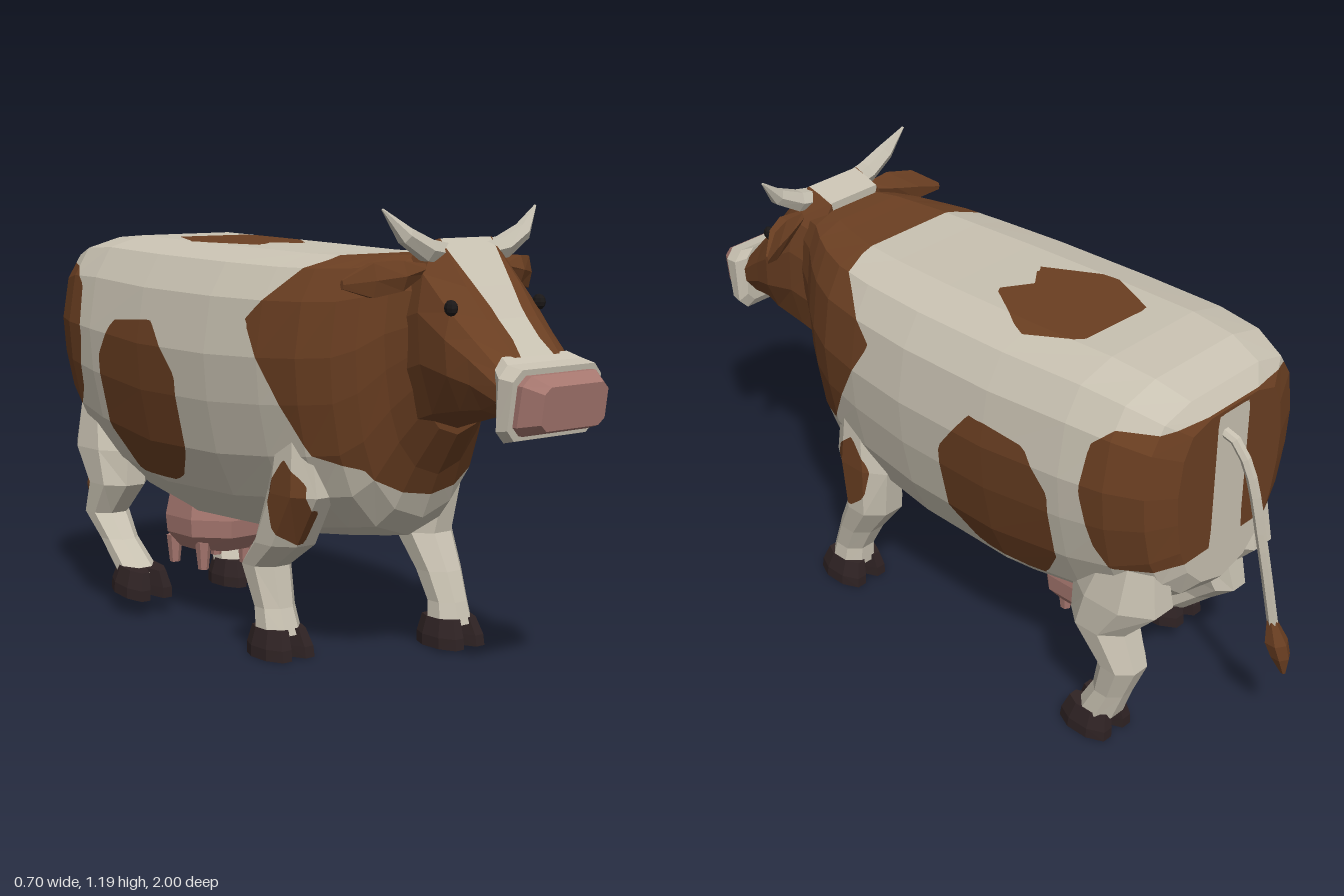
import * as THREE from 'three';

const mat = (name, color) => Object.assign(new THREE.MeshStandardMaterial({ color }), { name });
const V = (x, y, z) => new THREE.Vector3(x, y, z);

// flat-shaded geometry from a list of corner points, three per face
function fromPoints(pts) {
  const g = new THREE.BufferGeometry().setFromPoints(pts);
  g.computeVertexNormals();
  return g;
}

// closed skin through rings of points, capped at both ends, turned outward
function loft(rings) {
  const tris = [], n = rings[0].length;
  for (let r = 0; r < rings.length - 1; r++) for (let i = 0; i < n; i++) {
    const j = (i + 1) % n, a = rings[r], b = rings[r + 1];
    tris.push([a[i], a[j], b[j]], [a[i], b[j], b[i]]);
  }
  const cap = (ring, flip) => {
    const c = ring.reduce((s, p) => s.add(p), V(0, 0, 0)).divideScalar(n);
    for (let i = 0; i < n; i++) {
      const j = (i + 1) % n;
      tris.push(flip ? [c, ring[j], ring[i]] : [c, ring[i], ring[j]]);
    }
  };
  cap(rings[0], true);
  cap(rings[rings.length - 1], false);
  const volume = tris.reduce((s, [a, b, c]) => s + a.dot(b.clone().cross(c)), 0);
  return (volume < 0 ? tris.map(([a, b, c]) => [a, c, b]) : tris).flat();
}

// cut the skin where field(p) changes sign: positive side gets the second colour
function painted(name, pts, field, base, patch) {
  const out = [[], []], n = 6;
  const emit = (tri) => {
    const f = tri.map(field);
    [-1, 1].forEach((s, side) => {
      const poly = [];
      for (let i = 0; i < 3; i++) {
        const j = (i + 1) % 3;
        if (f[i] * s >= 0) poly.push(tri[i]);
        if (f[i] * f[j] < 0) poly.push(tri[i].clone().lerp(tri[j], f[i] / (f[i] - f[j])));
      }
      for (let i = 1; i < poly.length - 1; i++) out[side].push(poly[0], poly[i], poly[i + 1]);
    });
  };
  for (let t = 0; t < pts.length; t += 3) {
    const [a, b, c] = [pts[t], pts[t + 1], pts[t + 2]];
    const at = (i, j) => a.clone().multiplyScalar((n - i - j) / n).addScaledVector(b, i / n).addScaledVector(c, j / n);
    for (let i = 0; i < n; i++) for (let j = 0; j < n - i; j++) {
      emit([at(i, j), at(i + 1, j), at(i, j + 1)]);
      if (i + j < n - 1) emit([at(i + 1, j), at(i + 1, j + 1), at(i, j + 1)]);
    }
  }
  const group = new THREE.Group();
  group.name = name;
  group.add(mesh(name + 'Base', fromPoints(out[0]), base), mesh(name + 'Patches', fromPoints(out[1]), patch));
  return group;
}

function mesh(name, geometry, material) {
  let g = geometry;
  if (g.index) { g = g.toNonIndexed(); g.computeVertexNormals(); }
  const m = new THREE.Mesh(g, material);
  m.name = name;
  return m;
}

// signed distance to a polygon, positive inside
function inside(px, py, poly) {
  let d = Infinity, hit = false;
  poly.forEach(([ax, ay], i) => {
    const [bx, by] = poly[(i + 1) % poly.length], ex = bx - ax, ey = by - ay;
    const t = THREE.MathUtils.clamp(((px - ax) * ex + (py - ay) * ey) / (ex * ex + ey * ey), 0, 1);
    d = Math.min(d, Math.hypot(px - ax - ex * t, py - ay - ey * t));
    if ((ay > py) !== (by > py) && px < ax + (ex * (py - ay)) / ey) hit = !hit;
  });
  return hit ? d : -d;
}

// symmetric ring: half profile of [width, height] between a top and a bottom [z, y]
function ring(half, top, bottom, hw) {
  const all = [...half, ...half.slice(1, -1).reverse().map(([u, v]) => [-u, v])];
  return all.map(([u, v]) => V(u * hw, bottom[1] + (top[1] - bottom[1]) * v, bottom[0] + (top[0] - bottom[0]) * v));
}

// horizontal rings, stations are [y, z, x, halfX, halfZ]
const column = (stations, side = 1, n = 8) => loft(stations.map(([y, z, x, hx, hz]) =>
  Array.from({ length: n }, (_, i) => {
    const a = ((i + 0.5) / n) * Math.PI * 2, k = 1 / Math.cos(Math.PI / n);
    return V(side * (x + Math.cos(a) * hx * k), y, z + Math.sin(a) * hz * k);
  })));

// coat patches, outlines as [z, y], the back patch as [x, z]
const SADDLE = [[0.31, 1.2], [0.31, 1.05], [0.14, 0.895], [0.345, 0.56], [0.46, 0.53], [0.52, 0.43], [0.9, 0.43], [0.9, 1.2]];
const FLANK = [[-0.25, 0.868], [-0.435, 0.855], [-0.512, 0.75], [-0.512, 0.54], [-0.435, 0.42], [-0.215, 0.42], [-0.14, 0.52], [-0.14, 0.725]];
const RUMP = [[-0.68, 0.99], [-0.625, 0.94], [-0.61, 0.8], [-0.64, 0.645], [-0.68, 0.585], [-0.9, 0.61], [-0.9, 1.0]];
const BACK = [[-0.09, -0.455], [0.145, -0.445], [0.205, -0.29], [0.085, -0.1], [0, -0.155], [-0.075, -0.095], [-0.17, -0.28]];
const SHOULDER = [[0.33, 0.485], [0.26, 0.545], [0.195, 0.46], [0.215, 0.36], [0.275, 0.31], [0.335, 0.35]];
const BLAZE = [[-0.088, 1.2], [-0.085, 1.09], [-0.05, 0.95], [-0.045, 0.88], [-0.065, 0.81], [0.065, 0.81], [0.045, 0.88], [0.05, 0.95], [0.085, 1.09], [0.088, 1.2]];

const shoulderSpot = (p) => Math.min(inside(p.z, p.y, SHOULDER), Math.abs(p.x) - 0.225);
const coat = (p) => Math.max(
  inside(p.z, p.y, SADDLE), inside(p.z, p.y, FLANK), shoulderSpot(p),
  Math.min(inside(p.x, p.z, BACK), p.y - 0.9),
  Math.min(inside(p.z, p.y, RUMP), Math.max(Math.abs(p.x) - 0.06, p.y - 0.97)));

export function createModel() {
  const white = mat('creamWhite', 0xc9c2b2), brown = mat('brown', 0x6b3f22), pink = mat('pink', 0xa6776f);
  const hoofMat = mat('hoofDark', 0x2f2324), black = mat('eyeBlack', 0x1b1818), horn = mat('horn', 0xc6c0b1);
  const cow = new THREE.Group();
  cow.name = 'cow';

  // body and neck: [z, top, bottom, half width]
  const trunk = [[0, 1], [0.45, 1], [0.78, 0.96], [0.93, 0.85], [1, 0.66], [0.97, 0.5], [0.88, 0.32], [0.72, 0.17], [0.42, 0.05], [0, 0]];
  const body = [[-0.81, 0.99, 0.48, 0.2], [-0.775, 1.04, 0.44, 0.285], [-0.68, 1.07, 0.37, 0.325], [-0.55, 1.08, 0.32, 0.34],
    [-0.3, 1.073, 0.27, 0.35], [0, 1.065, 0.275, 0.345], [0.2, 1.06, 0.3, 0.327], [0.33, 1.06, 0.32, 0.305],
    [0.42, 1.063, 0.335, 0.265], [0.475, 1.067, 0.39, 0.23], [0.53, 1.067, 0.51, 0.185], [0.6, 1.05, 0.62, 0.15]];
  cow.add(painted('body', loft(body.map(([z, t, b, w]) => ring(trunk, [z, t], [z, b], w))), coat, white, brown));

  // head with a pale blaze
  const skull = [[0, 1], [0.54, 1], [0.88, 0.82], [1, 0.62], [0.98, 0.35], [0.75, 0.08], [0, 0]];
  const head = [[[0.53, 1.09], [0.55, 0.62], 0.15], [[0.62, 1.112], [0.64, 0.65], 0.165], [[0.72, 1.0], [0.74, 0.68], 0.17],
    [[0.785, 0.925], [0.8, 0.695], 0.155], [[0.875, 0.835], [0.87, 0.69], 0.14]];
  cow.add(painted('head', loft(head.map((h) => ring(skull, ...h))),
    (p) => inside(p.x, p.y, BLAZE), brown, white));

  // muzzle band and nose
  const snout = [[0, 1], [0.82, 1], [1, 0.84], [1, 0.16], [0.82, 0], [0, 0]];
  const muzzle = [[[0.86, 0.845], [0.87, 0.67], 0.135], [[0.895, 0.83], [0.885, 0.645], 0.155], [[0.94, 0.822], [0.915, 0.652], 0.15]];
  const nose = [[[0.92, 0.808], [0.9, 0.664], 0.134], [[0.955, 0.808], [0.93, 0.664], 0.134], [[1.0, 0.785], [0.985, 0.68], 0.108]];
  cow.add(mesh('muzzle', fromPoints(loft(muzzle.map((m) => ring(snout, ...m)))), white));
  cow.add(mesh('nose', fromPoints(loft(nose.map((m) => ring(snout, ...m)))), pink));

  for (const s of [1, -1]) {
    const side = s > 0 ? 'left' : 'right';

    // eye
    const eye = mesh(side + 'Eye', new THREE.SphereGeometry(0.02, 8, 6), black);
    eye.position.set(s * 0.15, 0.953, 0.728);
    eye.scale.set(0.7, 1, 1);
    cow.add(eye);

    // ear: leaf of rings from root to tip [x, y, z, half height, half depth]
    const leaf = [[0.13, 1.04, 0.61, 0.015, 0.015], [0.2, 1.025, 0.6, 0.042, 0.03], [0.265, 1.015, 0.57, 0.048, 0.022], [0.322, 1.005, 0.53, 0.012, 0.006]];
    cow.add(mesh(side + 'Ear', fromPoints(loft(leaf.map(([x, y, z, hy, hz]) =>
      Array.from({ length: 6 }, (_, i) => V(s * x, y + Math.sin(i * Math.PI / 3) * hy, z + Math.cos(i * Math.PI / 3) * hz))))), brown));

    // horn: [x, y, z, radius, lean]
    const spike = [[0.07, 1.075, 0.615, 0.03, 0.2], [0.13, 1.085, 0.62, 0.031, 0.3], [0.2, 1.122, 0.62, 0.024, 0.6], [0.26, 1.185, 0.605, 0.003, 0.8]];
    cow.add(mesh(side + 'Horn', fromPoints(loft(spike.map(([x, y, z, r, lean]) =>
      Array.from({ length: 6 }, (_, i) => {
        const a = i * Math.PI / 3, u = Math.sin(a) * r;
        return V(s * (x - u * Math.sin(lean)), y + u * Math.cos(lean), z + Math.cos(a) * r);
      })))), horn));

    // front leg, the left one a step ahead
    const lower = s > 0
      ? [[0.3, 0.25, 0.215, 0.075, 0.075], [0.2, 0.31, 0.215, 0.06, 0.06], [0.12, 0.345, 0.215, 0.052, 0.053], [0.06, 0.355, 0.215, 0.058, 0.06]]
      : [[0.31, 0.18, 0.215, 0.075, 0.085], [0.24, 0.1, 0.215, 0.062, 0.065], [0.13, 0.135, 0.215, 0.052, 0.05], [0.06, 0.152, 0.215, 0.058, 0.058]];
    cow.add(painted(side + 'FrontLeg', column([[0.62, 0.26, 0.235, 0.045, 0.07], [0.45, 0.255, 0.225, 0.068, 0.1], ...lower], s), shoulderSpot, white, brown));

    // hind leg, the right one lifted
    const shank = s > 0
      ? [[0.25, -0.675, 0.21, 0.06, 0.06], [0.15, -0.645, 0.21, 0.05, 0.05], [0.06, -0.605, 0.21, 0.057, 0.058]]
      : [[0.27, -0.655, 0.22, 0.06, 0.06], [0.2, -0.585, 0.225, 0.05, 0.05], [0.115, -0.49, 0.225, 0.055, 0.055]];
    cow.add(mesh(side + 'HindLeg', fromPoints(column([[0.6, -0.68, 0.2, 0.06, 0.09], [0.46, -0.655, 0.2, 0.085, 0.135], [0.36, -0.61, 0.21, 0.075, 0.09], ...shank], s)), white));

    // cloven hooves
    const feet = { FrontHoof: [0.215, 0, s > 0 ? 0.357 : 0.157], HindHoof: s > 0 ? [0.21, 0, -0.59] : [0.225, 0.055, -0.475] };
    for (const [name, [x, y, z]] of Object.entries(feet)) {
      const hoof = new THREE.Group();
      hoof.name = side + name;
      for (const t of [1, -1]) {
        hoof.add(mesh('toe', fromPoints(column([[0, 0.002, 0.038, 0.036, 0.078], [0.03, 0, 0.037, 0.036, 0.076], [0.077, -0.005, 0.029, 0.029, 0.062]], t)), hoofMat));
      }
      hoof.position.set(s * x, y, z);
      if (y > 0) hoof.rotation.x = 0.12;
      cow.add(hoof);
    }
  }

  // udder and teats
  cow.add(mesh('udder', fromPoints(column([[0.36, -0.38, -0.025, 0.12, 0.13], [0.28, -0.38, -0.025, 0.134, 0.15], [0.23, -0.38, -0.025, 0.13, 0.145], [0.185, -0.38, -0.025, 0.095, 0.105]])), pink));
  for (const x of [-0.115, 0.035]) for (const z of [-0.32, -0.46]) {
    const teat = mesh('teat', new THREE.CylinderGeometry(0.024, 0.015, 0.08, 6), pink);
    teat.position.set(x, 0.172, z);
    cow.add(teat);
  }

  // tail and its brush
  const path = new THREE.CatmullRomCurve3([V(0.03, 0.93, -0.79), V(0.03, 0.92, -0.835), V(0.02, 0.85, -0.878), V(0, 0.64, -0.922), V(-0.04, 0.36, -0.955)]);
  cow.add(mesh('tail', new THREE.TubeGeometry(path, 12, 0.014, 6), white));
  cow.add(mesh('tailBrush', fromPoints(column([[0.395, -0.95, -0.035, 0.012, 0.012], [0.33, -0.963, -0.045, 0.027, 0.028], [0.285, -0.975, -0.052, 0.023, 0.023], [0.23, -0.985, -0.058, 0.006, 0.006]], 1, 6)), brown));

  return cow;
}
